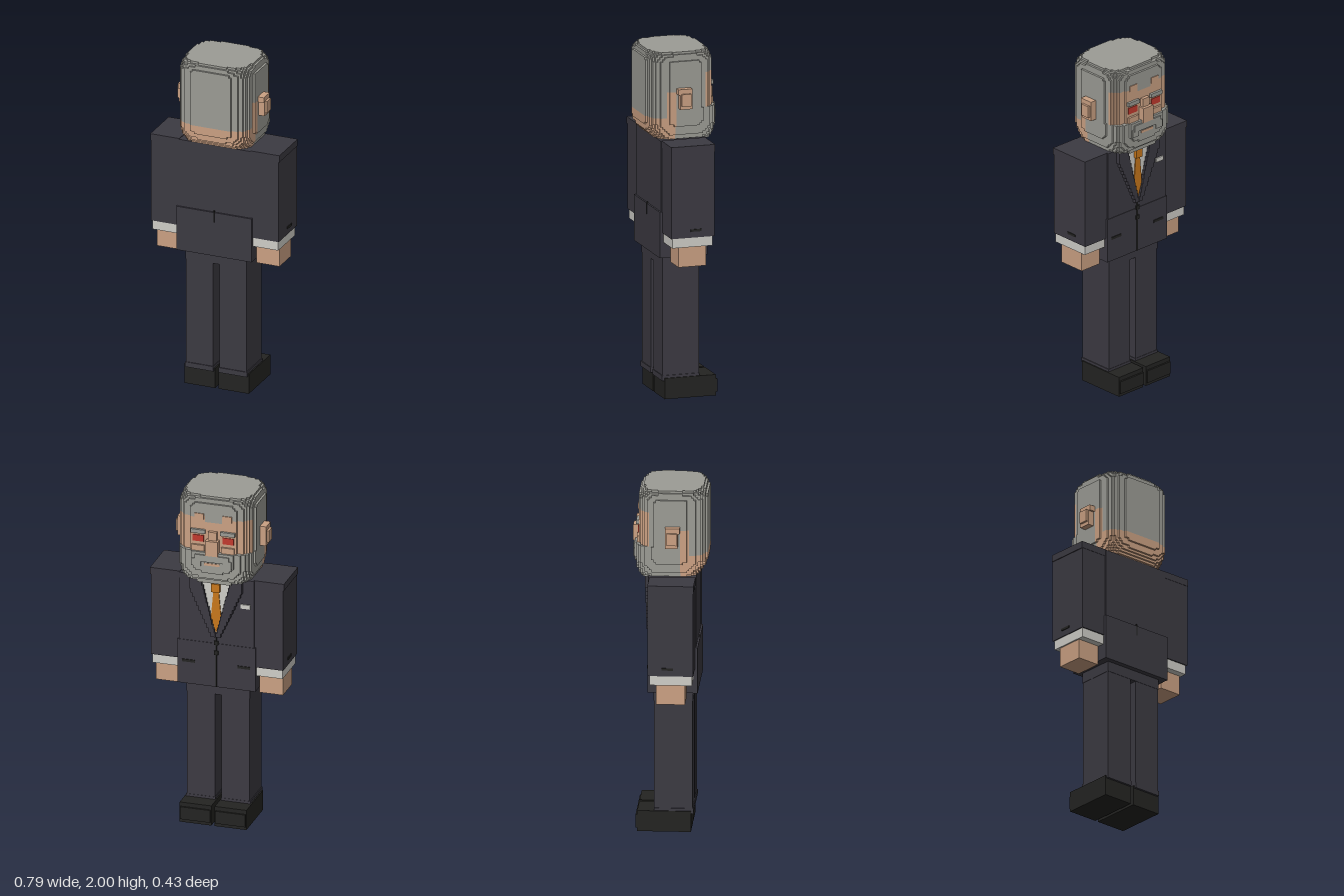
import * as THREE from 'three';

const mat = (name, color) => {
  const m = new THREE.MeshStandardMaterial({ color });
  m.name = name;
  return m;
};

export function createModel() {
  const model = new THREE.Group();
  model.name = 'suitedMan';
  const suit = mat('charcoal suit', 0x3c3a42);
  const black = mat('black leather', 0x242422);
  const skin = mat('skin', 0xcba183);
  const hair = mat('grey hair', 0x9c9c95);
  const white = mat('shirt white', 0xcfcec8);
  const orange = mat('orange tie', 0xc8781c);
  const red = mat('red eye', 0xc23a2e);

  // Box given by its limits on each axis
  const box = (name, m, x0, x1, y0, y1, z0, z1) => {
    const g = new THREE.BoxGeometry(Math.abs(x1 - x0), y1 - y0, z1 - z0);
    const mesh = new THREE.Mesh(g, m);
    mesh.position.set((x0 + x1) / 2, (y0 + y1) / 2, (z0 + z1) / 2);
    mesh.name = name;
    model.add(mesh);
  };
  const pair = (name, m, x0, x1, ...rest) => {
    box(name + 'Left', m, x0, x1, ...rest);
    box(name + 'Right', m, -x1, -x0, ...rest);
  };
  // Flat plate on the chest
  const plate = (name, m, pts, z, depth) => {
    const s = new THREE.Shape(pts.map(([x, y]) => new THREE.Vector2(x, y)));
    const mesh = new THREE.Mesh(new THREE.ExtrudeGeometry(s, { depth, bevelEnabled: false }), m);
    mesh.position.z = z;
    mesh.name = name;
    model.add(mesh);
  };

  // Legs and shoes
  pair('trouserLeg', suit, 0.02, 0.185, 0.11, 0.83, -0.085, 0.13);
  pair('trouserHem', suit, 0.017, 0.19, 0.105, 0.135, -0.087, 0.135);
  box('hips', suit, -0.187, 0.187, 0.765, 0.84, -0.088, 0.132);
  pair('shoe', black, 0.01, 0.197, 0, 0.12, -0.18, 0.122);
  pair('shoeToe', black, 0.014, 0.193, 0.02, 0.095, -0.19, -0.17);

  // Jacket
  box('jacket', suit, -0.222, 0.222, 0.83, 1.497, -0.117, 0.152);
  box('jacketSkirt', suit, -0.23, 0.23, 0.825, 1.09, -0.12, 0.162);
  box('backVent', black, -0.003, 0.003, 1.03, 1.1, 0.155, 0.164);
  box('frontSeam', black, -0.003, 0.003, 0.825, 1.14, -0.1225, -0.115);
  for (const y of [1.035, 1.095]) box('button', black, -0.012, 0.012, y - 0.012, y + 0.012, -0.128, -0.119);
  pair('pocketFlap', black, 0.125, 0.2, 0.957, 0.972, -0.124, -0.118);

  // Shirt, tie and stepped lapels
  plate('shirt', white, [[-0.1, 1.497], [0, 1.13], [0.1, 1.497]], -0.121, 0.008);
  plate('tie', orange, [[-0.022, 1.46], [0.022, 1.46], [0.016, 1.41], [0.03, 1.25], [0, 1.16], [-0.03, 1.25], [-0.016, 1.41]], -0.127, 0.009);
  box('tieKnot', orange, -0.024, 0.024, 1.41, 1.46, -0.14, -0.12);
  for (let i = 0; i < 14; i++) {
    const y = 1.135 + i * 0.0255, t = i / 13;
    pair('lapel', suit, 0.002 + 0.085 * t, 0.03 + 0.125 * Math.min(1, t * 1.2), y, y + 0.0256, -0.138, -0.11);
  }
  box('pocketSquare', white, -0.2, -0.145, 1.325, 1.35, -0.124, -0.115);

  // Arms, cuffs and hands
  pair('sleeve', suit, 0.222, 0.39, 0.97, 1.46, -0.108, 0.147);
  pair('shoulder', suit, 0.218, 0.395, 1.46, 1.5, -0.11, 0.149);
  pair('sleeveButtons', black, 0.388, 0.395, 1.005, 1.018, -0.03, 0.033);
  pair('cuff', white, 0.228, 0.384, 0.915, 0.97, -0.098, 0.14);
  pair('hand', skin, 0.235, 0.375, 0.8, 0.92, -0.063, 0.1);

  // Head of small cubes: a rounded block, narrower at the chin and crown
  const S = 0.0125;
  const inside = (x, y, z) => {
    if (y < 1.4875 || y > 2) return false;
    const round = (t) => 1 - Math.sqrt(Math.max(0, 1 - t * t));
    const top = Math.max(0, (y - 1.93) / 0.07), low = Math.max(0, (1.62 - y) / 0.135);
    const ix = 0.045 * round(top) + 0.05 * round(low);
    const iz = 0.05 * round(top) + (z > 0 ? 0.1 : 0.05) * round(low);
    const hz = z > 0 ? 0.213 : y < 1.675 ? 0.2 : 0.175;
    return (x / (0.222 - ix)) ** 4 + (z / (hz - iz)) ** 4 < 1;
  };
  const isSkin = (x, y, z) => {
    const ax = Math.abs(x);
    const hairline = ax < 0.05 ? 1.85 : ax < 0.115 ? 1.89 : 1.875;
    const face = z < -0.11 && y > 1.675 && y < hairline;
    const nape = z > 0.0625 && (y < 1.62 || (z < 0.115 && y < 1.77));
    return face || nape;
  };
  const headPos = { skin: [], hair: [] };
  const axes = [[0, 1, 2], [1, 2, 0], [2, 0, 1]];
  for (let i = -18; i < 18; i++) for (let j = 118; j < 160; j++) for (let k = -17; k < 18; k++) {
    const c = [(i + 0.5) * S, (j + 0.5) * S, (k + 0.5) * S];
    if (!inside(...c)) continue;
    const out = isSkin(...c) ? headPos.skin : headPos.hair;
    for (const [a, b, d] of axes) for (const s of [-1, 1]) {
      const n = [...c];
      n[a] += s * S;
      if (inside(...n)) continue;
      const corner = (u, v) => {
        const p = [...c];
        p[a] += s * S / 2;
        p[b] += u * S / 2;
        p[d] += v * s * S / 2;
        return p;
      };
      const q = [corner(-1, -1), corner(1, -1), corner(1, 1), corner(-1, 1)];
      for (const m of [0, 1, 2, 0, 2, 3]) out.push(...q[m]);
    }
  }
  for (const [name, m, p] of [['headSkin', skin, headPos.skin], ['hairAndBeard', hair, headPos.hair]]) {
    const g = new THREE.BufferGeometry();
    g.setAttribute('position', new THREE.Float32BufferAttribute(p, 3));
    g.computeVertexNormals();
    const mesh = new THREE.Mesh(g, m);
    mesh.name = name;
    model.add(mesh);
  }
  box('neck', skin, -0.12, 0.12, 1.47, 1.52, -0.09, 0.1);

  // Ears
  pair('ear', skin, 0.21, 0.262, 1.68, 1.765, -0.02, 0.05);
  pair('earTop', skin, 0.21, 0.262, 1.765, 1.797, -0.02, 0.062);
  pair('earRim', skin, 0.255, 0.275, 1.70, 1.77, -0.01, 0.045);

  // Face
  pair('eye', red, 0.055, 0.122, 1.73, 1.768, -0.18, -0.172);
  pair('eyebrow', hair, 0.045, 0.13, 1.782, 1.805, -0.19, -0.165);
  pair('foreheadPatch', skin, 0.055, 0.11, 1.865, 1.9, -0.18, -0.165);
  pair('cheek', skin, 0.05, 0.125, 1.675, 1.71, -0.187, -0.165);
  box('noseBridge', skin, -0.025, 0.025, 1.74, 1.8, -0.195, -0.165);
  box('nose', skin, -0.037, 0.037, 1.66, 1.75, -0.213, -0.165);
  box('moustache', hair, -0.1, 0.1, 1.62, 1.66, -0.208, -0.18);
  pair('moustacheTip', hair, 0.065, 0.115, 1.59, 1.635, -0.206, -0.18);
  box('mouth', skin, -0.045, 0.045, 1.597, 1.612, -0.203, -0.195);
  box('beardTip', hair, -0.1, 0.1, 1.475, 1.53, -0.165, -0.1);
  return model;
}
